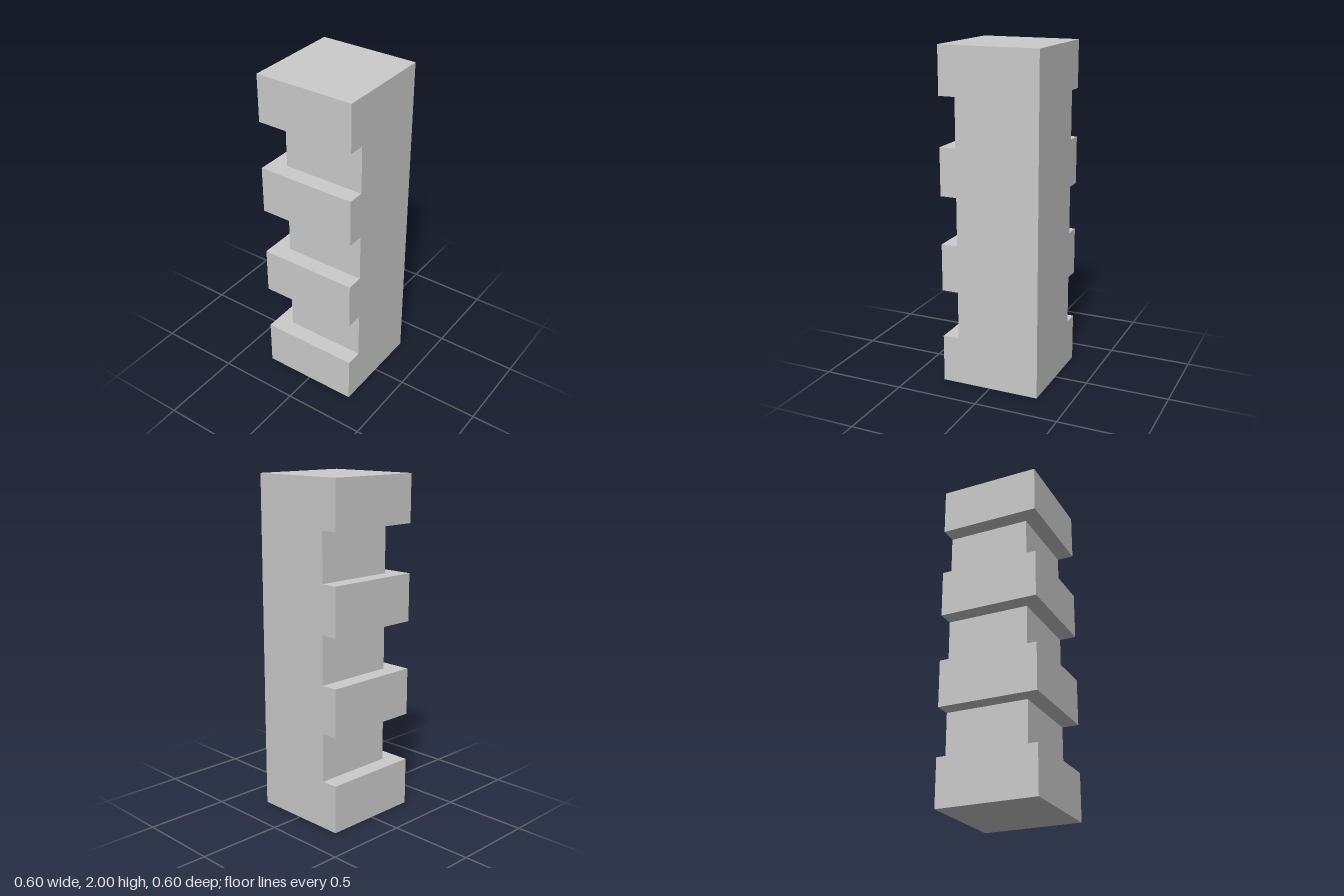
import * as THREE from 'three';

const HALF = 0.3;    // half width of the pillar
const INSET = 0.1;   // depth of the notches
const LEVELS = [0, 0.286, 0.576, 0.859, 1.147, 1.431, 1.719, 2];

// Square cross-section, notched on the front and the -x side only
function ring(y, inset) {
  const l = -HALF + inset, f = HALF - inset;
  return [[l, y, f], [HALF, y, f], [HALF, y, -HALF], [l, y, -HALF]];
}

function notchedPillarGeometry() {
  const pos = [];
  const quad = (a, b, c, d) => pos.push(...a, ...b, ...c, ...a, ...c, ...d);

  // Two rings per band: full and notched bands alternate up the pillar
  const rings = [];
  for (let i = 0; i < LEVELS.length - 1; i++) {
    const inset = i % 2 ? INSET : 0;
    rings.push(ring(LEVELS[i], inset), ring(LEVELS[i + 1], inset));
  }

  // Walls, and the ledges between bands (the flush sides have no ledge)
  for (let i = 0; i < rings.length - 1; i++) {
    const lo = rings[i], hi = rings[i + 1], ledge = i % 2 === 1;
    for (let k = 0; k < 4; k++) {
      if (ledge && (k === 1 || k === 2)) continue;
      const n = (k + 1) % 4;
      quad(lo[k], lo[n], hi[n], hi[k]);
    }
  }

  // Bottom and top caps
  const [a, b, c, d] = rings[0];
  quad(d, c, b, a);
  quad(...rings[rings.length - 1]);

  const geo = new THREE.BufferGeometry();
  geo.setAttribute('position', new THREE.Float32BufferAttribute(pos, 3));
  geo.computeVertexNormals();
  return geo;
}

export function createModel() {
  const group = new THREE.Group();
  group.name = 'quoinedCorner';
  const material = new THREE.MeshStandardMaterial({ color: 0xcccccc, flatShading: true });
  const pillar = new THREE.Mesh(notchedPillarGeometry(), material);
  pillar.name = 'notchedPillar';
  group.add(pillar);
  return group;
}
